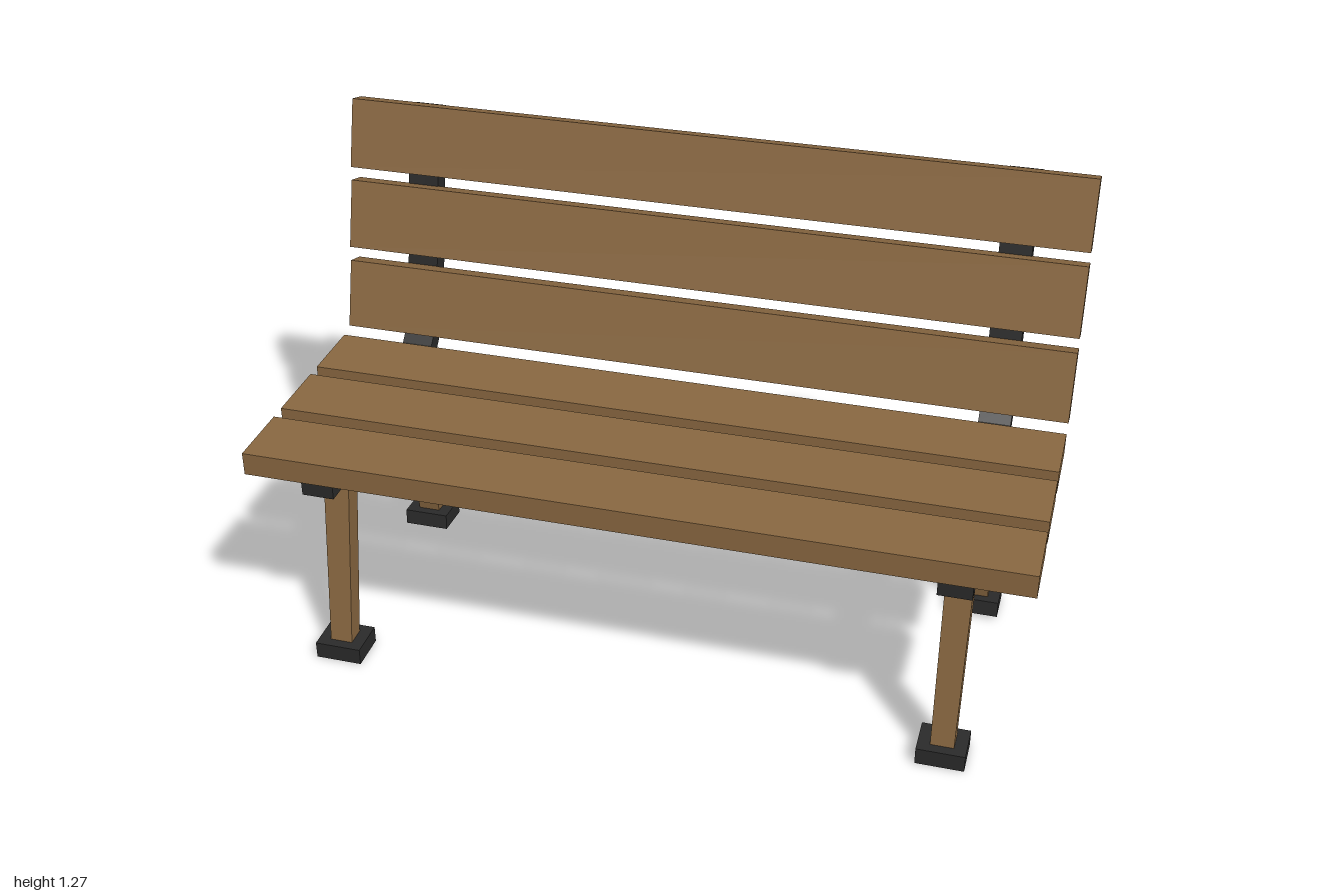
import * as THREE from 'three';

const wood = new THREE.MeshStandardMaterial({ color: 0x8b6942, flatShading: true });
const iron = new THREE.MeshStandardMaterial({ color: 0x2b2b2b, flatShading: true });

function box(name, material, size, position, tilt = 0) {
  const mesh = new THREE.Mesh(new THREE.BoxGeometry(...size), material);
  mesh.name = name;
  mesh.position.set(...position);
  mesh.rotation.x = tilt;
  return mesh;
}

// Tapered, slanted leg; each end is { y, z, w, d }
function leg(name, x, top, bottom) {
  const geometry = new THREE.BoxGeometry(1, 1, 1);
  const p = geometry.attributes.position;
  for (let i = 0; i < p.count; i++) {
    const end = p.getY(i) > 0 ? top : bottom;
    p.setXYZ(i, x + p.getX(i) * end.w, end.y, end.z + p.getZ(i) * end.d);
  }
  geometry.computeVertexNormals();
  const mesh = new THREE.Mesh(geometry, wood);
  mesh.name = name;
  return mesh;
}

// Bent side bracket, outlined as [z, y]: underside and back, then inner edge
function bracket(name, x, width) {
  const outline = [
    [0.45, 0.537], [-0.165, 0.534], [-0.265, 0.566], [-0.324, 0.627], [-0.373, 0.797], [-0.462, 1.243],
    [-0.408, 1.254], [-0.322, 0.815], [-0.275, 0.645], [-0.241, 0.609], [-0.174, 0.586], [0.45, 0.59],
  ];
  const shape = new THREE.Shape(outline.map(([z, y]) => new THREE.Vector2(-z, y)));
  const geometry = new THREE.ExtrudeGeometry(shape, { depth: width, bevelEnabled: false });
  geometry.rotateY(Math.PI / 2);
  geometry.translate(x - width / 2, 0, 0);
  const mesh = new THREE.Mesh(geometry, iron);
  mesh.name = name;
  return mesh;
}

export function createModel() {
  const bench = new THREE.Group();
  bench.name = 'bench';

  // Seat slats
  [0.372, 0.143, -0.084].forEach((z, i) =>
    bench.add(box(`seatSlat${i + 1}`, wood, [2, 0.062, 0.186], [0, 0.614, z])));

  // Leaning backrest slats
  [[0.737, -0.268], [0.958, -0.32], [1.176, -0.372]].forEach(([y, z], i) =>
    bench.add(box(`backSlat${i + 1}`, wood, [2, 0.187, 0.058], [0, y, z], -0.27)));

  // Brackets, legs and feet on each side
  for (const [side, sign] of [['left', 1], ['right', -1]]) {
    const x = 0.81 * sign;
    bench.add(
      bracket(`${side}Bracket`, x, 0.085),
      leg(`${side}FrontLeg`, x, { y: 0.56, z: 0.307, w: 0.07, d: 0.057 }, { y: 0.03, z: 0.386, w: 0.06, d: 0.053 }),
      leg(`${side}BackLeg`, x, { y: 0.56, z: -0.186, w: 0.07, d: 0.057 }, { y: 0.03, z: -0.266, w: 0.06, d: 0.052 }),
      box(`${side}FrontFoot`, iron, [0.125, 0.046, 0.105], [x, 0.024, 0.384]),
      box(`${side}BackFoot`, iron, [0.125, 0.044, 0.105], [x, 0.029, -0.261], -0.08),
    );
  }
  return bench;
}
